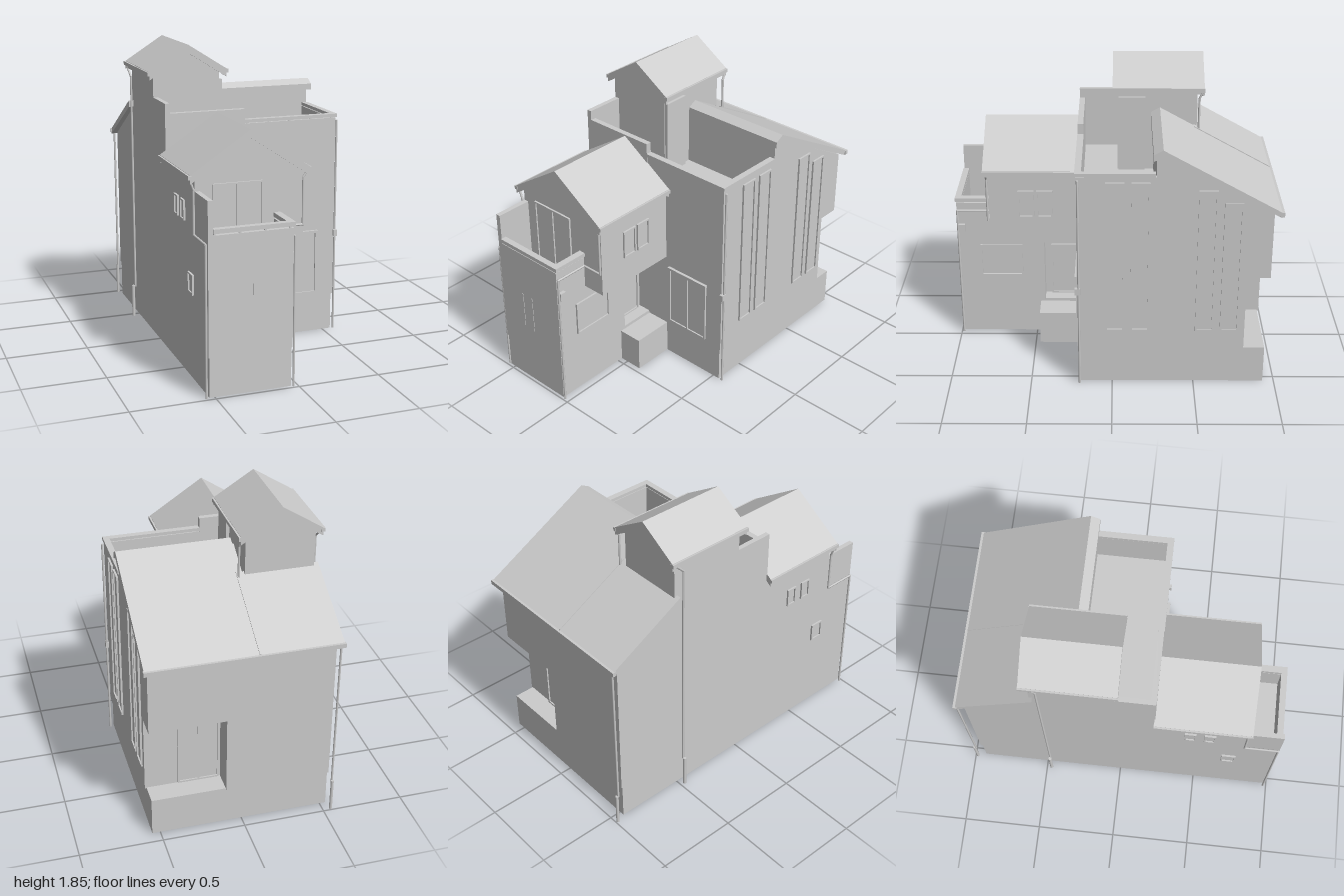
import * as THREE from 'three';

const material = new THREE.MeshStandardMaterial({ color: 0xcccccc });
const openMaterial = new THREE.MeshStandardMaterial({ color: 0xcccccc, side: THREE.DoubleSide });

export function createModel() {
  const house = new THREE.Group();
  house.name = 'house';

  const add = (name, geometry, mat = material) => {
    const mesh = new THREE.Mesh(geometry, mat);
    mesh.name = name;
    house.add(mesh);
    return mesh;
  };
  // Box given by its limits on each axis
  const box = (name, x0, x1, y0, y1, z0, z1) => add(name,
    new THREE.BoxGeometry(x1 - x0, y1 - y0, z1 - z0)
      .translate((x0 + x1) / 2, (y0 + y1) / 2, (z0 + z1) / 2));
  const shapeOf = (points) => new THREE.Shape(points.map(([a, b]) => new THREE.Vector2(a, b)));
  const extrude = (points, depth) =>
    new THREE.ExtrudeGeometry(shapeOf(points), { depth, bevelEnabled: false });
  // Front profile (x, y) run along z
  const alongZ = (name, points, z0, z1) =>
    add(name, extrude(points, z1 - z0).translate(0, 0, z0));
  // Side profile (z, y) run along x
  const alongX = (name, points, x0, x1) =>
    add(name, extrude(points.map(([z, y]) => [-z, y]), x1 - x0).rotateY(Math.PI / 2).translate(x0, 0, 0));
  // Round pipe through a list of corners
  const pipe = (name, points, radius = 0.007) => {
    const group = new THREE.Group();
    group.name = name;
    const v = points.map((p) => new THREE.Vector3(...p));
    for (let i = 1; i < v.length; i++) {
      const dir = v[i].clone().sub(v[i - 1]);
      const part = new THREE.Mesh(new THREE.CylinderGeometry(radius, radius, dir.length() + radius, 8), material);
      part.position.copy(v[i]).add(v[i - 1]).multiplyScalar(0.5);
      part.quaternion.setFromUnitVectors(new THREE.Vector3(0, 1, 0), dir.normalize());
      part.name = 'pipeSection';
      group.add(part);
    }
    house.add(group);
  };
  // Framed opening on a wall; u runs along x (axis 'z') or along z (axis 'x')
  const opening = (name, axis, at, side, u0, u1, y0, y1, sashes = 1) => {
    const put = (n, a, b, c, d, out) => {
      const [p, q] = side > 0 ? [at - 0.005, at + out] : [at - out, at + 0.005];
      if (axis === 'z') box(n, a, b, c, d, p, q);
      else box(n, p, q, c, d, a, b);
    };
    const f = 0.01;
    put(name + 'Pane', u0, u1, y0, y1, 0.003);
    put(name + 'Frame', u0, u1, y1 - f, y1, 0.012);
    put(name + 'Frame', u0, u1, y0, y0 + f, 0.012);
    for (let i = 0; i <= sashes; i++) {
      const u = u0 + (u1 - u0 - f) * i / sashes;
      put(name + 'Frame', u, u + f, y0, y1, 0.012);
    }
  };

  // Plinth: open underneath, closed by the floor
  const outline = [[-0.535, 0.985], [-0.045, 0.985], [-0.045, 0.205], [0.55, 0.205], [0.55, -0.93], [-0.535, -0.93]];
  outline.forEach(([x0, z0], i) => {
    const [x1, z1] = outline[(i + 1) % outline.length];
    const wall = add('plinthWall', new THREE.PlaneGeometry(Math.hypot(x1 - x0, z1 - z0), 0.24), openMaterial);
    wall.position.set((x0 + x1) / 2, 0.12, (z0 + z1) / 2);
    wall.rotation.y = Math.atan2(-(z1 - z0), x1 - x0);
  });
  add('floor', extrude(outline.map(([x, z]) => [x, -z]), 0.012).rotateX(-Math.PI / 2).translate(0, 0.229, 0));
  box('entranceStep', -0.05, 0.11, 0, 0.22, 0.2, 0.47);

  // Main block with sunken roof terrace
  box('mainWalls', -0.54, 0.56, 0.235, 1.14, -0.26, 0.21);
  box('terraceParapet', -0.04, 0.56, 1.14, 1.38, 0.18, 0.21);
  box('terraceParapet', 0.53, 0.56, 1.14, 1.38, -0.26, 0.18);
  box('terraceTallParapet', -0.51, -0.04, 1.14, 1.47, 0.18, 0.215);
  box('terraceSideParapet', -0.54, -0.51, 1.14, 1.53, -0.03, 0.215);
  box('terraceRail', -0.04, 0.567, 1.385, 1.405, 0.178, 0.217);
  box('terraceRail', 0.528, 0.567, 1.385, 1.405, -0.25, 0.178);
  for (let i = 0; i < 5; i++) {
    box('railPost', -0.03 + i * 0.14, -0.02 + i * 0.14, 1.37, 1.39, 0.185, 0.205);
    box('railPost', 0.54, 0.555, 1.37, 1.39, 0.16 - i * 0.095, 0.17 - i * 0.095);
  }

  // Rear block under the long slope, with a corner porch cut out
  const top = [[-0.255, 1.5], [-0.29, 1.515]];
  alongX('rearWalls', [[-0.255, 0.235], ...top, [-0.94, 1.15], [-0.94, 0.235]], -0.54, 0.1);
  alongX('rearPorchWalls', [[-0.255, 0.235], ...top, [-0.94, 1.15], [-0.94, 0.73], [-0.8, 0.73], [-0.8, 0.235]], 0.1, 0.56);
  const slopeY = (z) => 1.557 + 0.558 * (z + 0.29);
  alongX('rearRoof', [[-0.235, 1.527], [-0.29, 1.557], [-0.98, slopeY(-0.98)], [-0.98, slopeY(-0.98) - 0.035],
    [-0.29, 1.513], [-0.235, 1.488]], -0.1, 0.585);
  alongX('rearRoofLeft', [[-0.5, slopeY(-0.5)], [-0.98, slopeY(-0.98)], [-0.98, slopeY(-0.98) - 0.035],
    [-0.5, slopeY(-0.5) - 0.042]], -0.57, -0.1);
  alongX('roofJoint', [[-0.5, slopeY(-0.5) + 0.006], [-0.98, slopeY(-0.98) + 0.006], [-0.98, slopeY(-0.98) - 0.01],
    [-0.5, slopeY(-0.5) - 0.01]], -0.078, -0.07);
  box('rearGutter', -0.575, 0.59, 1.145, 1.172, -0.995, -0.97);

  // Gabled volume: walls, overhanging roof slab and eave gutters
  const gable = (name, wx0, wx1, y0, wz0, wz1, ridgeX, ridgeY, half, drop, rz0, rz1) => {
    const t = 0.04, slope = drop / half;
    const under = (x) => ridgeY - t - slope * Math.abs(x - ridgeX);
    alongZ(name + 'Walls', [[wx0, y0], [wx1, y0], [wx1, under(wx1)], [ridgeX, ridgeY - t], [wx0, under(wx0)]], wz0, wz1);
    const l = ridgeX - half, r = ridgeX + half, e = ridgeY - drop;
    alongZ(name + 'Roof', [[l, e - t], [ridgeX, ridgeY - t], [r, e - t], [r, e], [ridgeX, ridgeY], [l, e]], rz0, rz1);
    // Raised verge trim at both ends
    for (const z of [rz0, rz1 - 0.012])
      alongZ(name + 'Verge', [[l, e - t - 0.01], [ridgeX, ridgeY - t - 0.01], [r, e - t - 0.01],
        [r, e - t + 0.01], [ridgeX, ridgeY - t + 0.01], [l, e - t + 0.01]], z, z + 0.012);
    for (const s of [-1, 1]) {
      const x = ridgeX + s * half;
      box(name + 'Gutter', x - 0.011, x + 0.011, e - 0.025, e - 0.002, rz0 - 0.002, rz1 + 0.002);
    }
  };
  gable('tower', -0.54, -0.12, 1.1, -0.52, -0.03, -0.325, 1.843, 0.245, 0.155, -0.56, 0);
  gable('frontRoom', -0.54, 0.11, 0.73, 0.21, 0.765, -0.22, 1.463, 0.355, 0.235, 0.21, 0.795);
  box('towerDoorSurround', -0.13, -0.1, 1.13, 1.62, -0.2, -0.035);

  // Front wing, entrance recess and balcony
  box('wingWalls', -0.54, -0.04, 0.235, 0.75, 0.44, 0.99);
  box('entranceRecessWalls', -0.54, -0.13, 0.235, 0.74, 0.2, 0.45);
  box('balconyParapet', -0.51, -0.04, 0.75, 0.935, 0.96, 0.99);
  box('balconyParapet', -0.07, -0.04, 0.75, 0.935, 0.76, 0.96);
  box('balconySideParapet', -0.54, -0.51, 0.75, 1.13, 0.76, 0.99);
  box('balconyRail', -0.51, -0.03, 0.945, 0.97, 0.958, 0.996);
  box('balconyRail', -0.072, -0.03, 0.945, 0.97, 0.765, 0.958);
  for (let i = 0; i < 4; i++)
    box('railPost', -0.505 + i * 0.148, -0.495 + i * 0.148, 0.93, 0.95, 0.967, 0.985);
  box('railPost', -0.062, -0.048, 0.93, 0.95, 0.86, 0.87);

  // Windows and doors
  opening('frontWindow', 'z', 0.21, 1, 0.14, 0.44, 0.26, 0.67, 2);
  box('frontWindowHood', 0.135, 0.445, 0.655, 0.67, 0.21, 0.228);
  opening('balconyDoor', 'z', 0.765, 1, -0.44, -0.14, 0.755, 1.165, 2);
  opening('wingSideWindow', 'x', -0.04, 1, 0.58, 0.85, 0.42, 0.64, 1);
  opening('entranceDoor', 'x', -0.13, 1, 0.23, 0.4, 0.24, 0.6, 1);
  opening('porchDoor', 'z', -0.8, -1, 0.11, 0.36, 0.245, 0.66, 2);
  for (const z of [0.37, 0.485]) opening('roomSideWindow', 'x', 0.11, 1, z, z + 0.1, 0.91, 1.09);
  for (const z of [0.4, 0.52]) opening('leftWindow', 'x', -0.54, -1, z, z + 0.07, 0.92, 1.04);
  opening('leftLowWindow', 'x', -0.54, -1, 0.65, 0.74, 0.52, 0.64);
  for (const x of [-0.36, -0.28]) box('frontSlit', x, x + 0.012, 0.4, 0.64, 0.985, 0.993);
  // Tall panels on the right wall
  [[-0.07, 1.35], [-0.22, 1.35], [-0.61, 1.3], [-0.76, 1.22]].forEach(([z, y]) =>
    opening('tallPanel', 'x', 0.56, 1, z, z + 0.11, 0.37, y));

  // Rain pipes
  pipe('roomPipeRight', [[0.135, 1.21, 0.775], [0.105, 1.165, 0.775], [0.105, 0.885, 0.775],
    [-0.03, 0.885, 0.775], [-0.03, 0.885, 0.985], [-0.03, 0, 0.985]]);
  pipe('roomPipeLeft', [[-0.575, 1.21, 0.775], [-0.55, 1.14, 0.775], [-0.55, 0.885, 0.775],
    [-0.55, 0.885, 0.98], [-0.55, 0, 0.98]]);
  pipe('towerPipeLeft', [[-0.57, 1.67, -0.54], [-0.56, 1.6, -0.47], [-0.56, 0.2, -0.47]]);
  pipe('towerPipeFoot', [[-0.575, 0.2, -0.47], [-0.575, 0, -0.47]], 0.011);
  pipe('towerPipeRight', [[-0.08, 1.67, -0.55], [-0.08, 1.62, -0.53], [-0.08, slopeY(-0.53), -0.53]]);
  pipe('rearPipe', [[-0.55, 1.16, -0.98], [-0.55, 0.2, -0.975]]);
  pipe('rearPipeFoot', [[-0.55, 0.2, -0.985], [-0.55, 0, -0.985]], 0.01);
  pipe('terracePipe', [[0.572, 1.36, 0.2], [0.572, 0, 0.2]]);
  box('pipeBracket', 0.555, 0.58, 0.62, 0.66, 0.19, 0.225);
  box('pipeBracket', -0.04, -0.018, 0.74, 0.79, 0.94, 0.98);

  return house;
}
